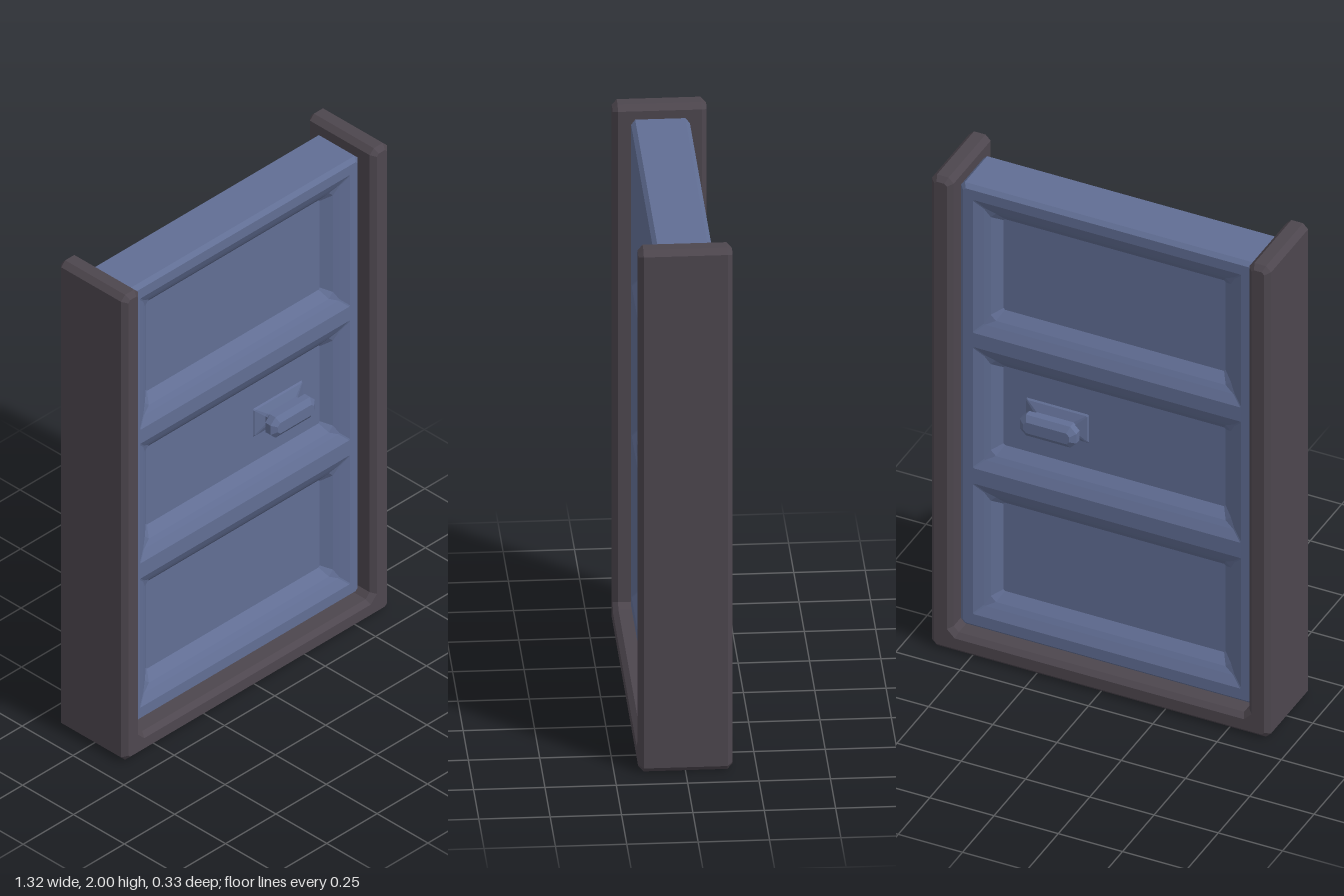
import * as THREE from 'three';

const mat = (color) => new THREE.MeshStandardMaterial({ color, flatShading: true });

// Corners of a rectangle with cut corners, counter-clockwise
function cutRect(cx, cy, w, h, c) {
  const a = w / 2, b = h / 2;
  return [
    [a, -b + c], [a, b - c], [a - c, b], [-a + c, b],
    [-a, b - c], [-a, -b + c], [-a + c, -b], [a - c, -b],
  ].map(([x, y]) => [cx + x, cy + y]);
}

// Skin through cut-corner rings { w, h, c, z }, ordered back to front or outside to inside
function loft(cx, cy, rings, cap) {
  const pos = [];
  const loops = rings.map((r) => cutRect(cx, cy, r.w, r.h, r.c).map(([x, y]) => [x, y, r.z]));
  for (let i = 0; i < loops.length - 1; i++) {
    for (let j = 0; j < 8; j++) {
      const k = (j + 1) % 8, p = loops[i], q = loops[i + 1];
      pos.push(...p[j], ...p[k], ...q[k], ...p[j], ...q[k], ...q[j]);
    }
  }
  const last = loops[loops.length - 1];
  if (cap) for (let j = 1; j < 7; j++) pos.push(...last[0], ...last[j], ...last[j + 1]);
  const g = new THREE.BufferGeometry();
  g.setAttribute('position', new THREE.Float32BufferAttribute(pos, 3));
  g.computeVertexNormals();
  return g;
}

const toVec = (pts) => pts.map(([x, y]) => new THREE.Vector2(x, y));

export function createModel() {
  const model = new THREE.Group();
  model.name = 'slidingDoor';
  const blue = mat(0x616e94);
  const dark = mat(0x4d464e);
  const add = (parent, name, geometry, material) => {
    const m = new THREE.Mesh(geometry, material);
    m.name = name;
    parent.add(m);
    return m;
  };

  // U-shaped frame: two posts joined by a sill, chamfered all round
  const X = 0.66, I = 0.575, S = 0.08, c = 0.02;
  const right = [
    [X - c, 0], [X, c], [X, 2 - c], [X - c, 2],
    [I + c, 2], [I, 2 - c], [I, S + c], [I - c, S],
  ];
  const left = right.map(([x, y]) => [-x, y]).reverse();
  const frame = new THREE.ExtrudeGeometry(new THREE.Shape(toVec([...right, ...left])), {
    depth: 0.294, bevelEnabled: true, bevelThickness: 0.018,
    bevelSize: 0.018, bevelOffset: -0.018, bevelSegments: 1,
  });
  frame.translate(0, 0, -0.147);
  add(model, 'frame', frame, dark);

  // Door slab rim with bevelled front and back edges
  const door = new THREE.Group();
  door.name = 'door';
  model.add(door);
  const cy = 1.018, W = 1.15, H = 1.875, Z = 0.103, b = 0.015;
  const edge = { w: W - 2 * b, h: H - 2 * b, c: 0.01 };
  add(door, 'doorRim', loft(0, cy, [
    { ...edge, z: -Z },
    { w: W, h: H, c: 0.015, z: -Z + b },
    { w: W, h: H, c: 0.015, z: Z - b },
    { ...edge, z: Z },
  ], false), blue);

  // The same panelled face on the front and the back
  const panels = [
    { name: 'upperPanel', lo: 1.335, hi: 1.9 },
    { name: 'middlePanel', lo: 0.76, hi: 1.275 },
    { name: 'lowerPanel', lo: 0.14, hi: 0.695 },
  ];
  const PW = 1.044, floorZ = Z - 0.06, hx = 0.222, hy = 1.018;
  for (const side of [1, -1]) {
    const face = new THREE.Group();
    face.name = side > 0 ? 'frontFace' : 'backFace';
    if (side < 0) face.rotation.y = Math.PI;
    door.add(face);

    // Rails and stiles
    const shape = new THREE.Shape(toVec(cutRect(0, cy, edge.w, edge.h, edge.c)));
    for (const p of panels) {
      shape.holes.push(new THREE.Path(toVec(cutRect(0, (p.lo + p.hi) / 2, PW, p.hi - p.lo, 0.004))));
    }
    const rails = new THREE.ShapeGeometry(shape);
    rails.translate(0, 0, Z);
    add(face, 'railsAndStiles', rails, blue);

    // Stepped recesses: inset, depth and corner cut of each ring
    for (const p of panels) {
      const rings = [[0, 0, 0.004], [0.035, 0.018, 0.004], [0.055, 0.03, 0.02], [0.09, 0.06, 0.006]]
        .map(([inset, depth, cut]) => ({
          w: PW - 2 * inset, h: p.hi - p.lo - 2 * inset, c: cut, z: Z - depth,
        }));
      add(face, p.name, loft(0, (p.lo + p.hi) / 2, rings, true), blue);
    }

    // Handle: flared mount and chamfered grip
    const x = side * hx;
    add(face, 'handleMount', loft(x, hy, [
      { w: 0.245, h: 0.12, c: 0.004, z: floorZ },
      { w: 0.235, h: 0.11, c: 0.004, z: floorZ + 0.006 },
      { w: 0.16, h: 0.05, c: 0.008, z: floorZ + 0.02 },
      { w: 0.16, h: 0.05, c: 0.008, z: floorZ + 0.045 },
    ], false), blue);
    add(face, 'handleGrip', loft(x, hy, [
      { w: 0.1, h: 0.03, c: 0.008, z: 0.078 },
      { w: 0.18, h: 0.055, c: 0.012, z: 0.078 },
      { w: 0.22, h: 0.088, c: 0.024, z: 0.092 },
      { w: 0.22, h: 0.088, c: 0.024, z: 0.118 },
      { w: 0.18, h: 0.045, c: 0.012, z: 0.134 },
    ], true), blue);
  }
  return model;
}
